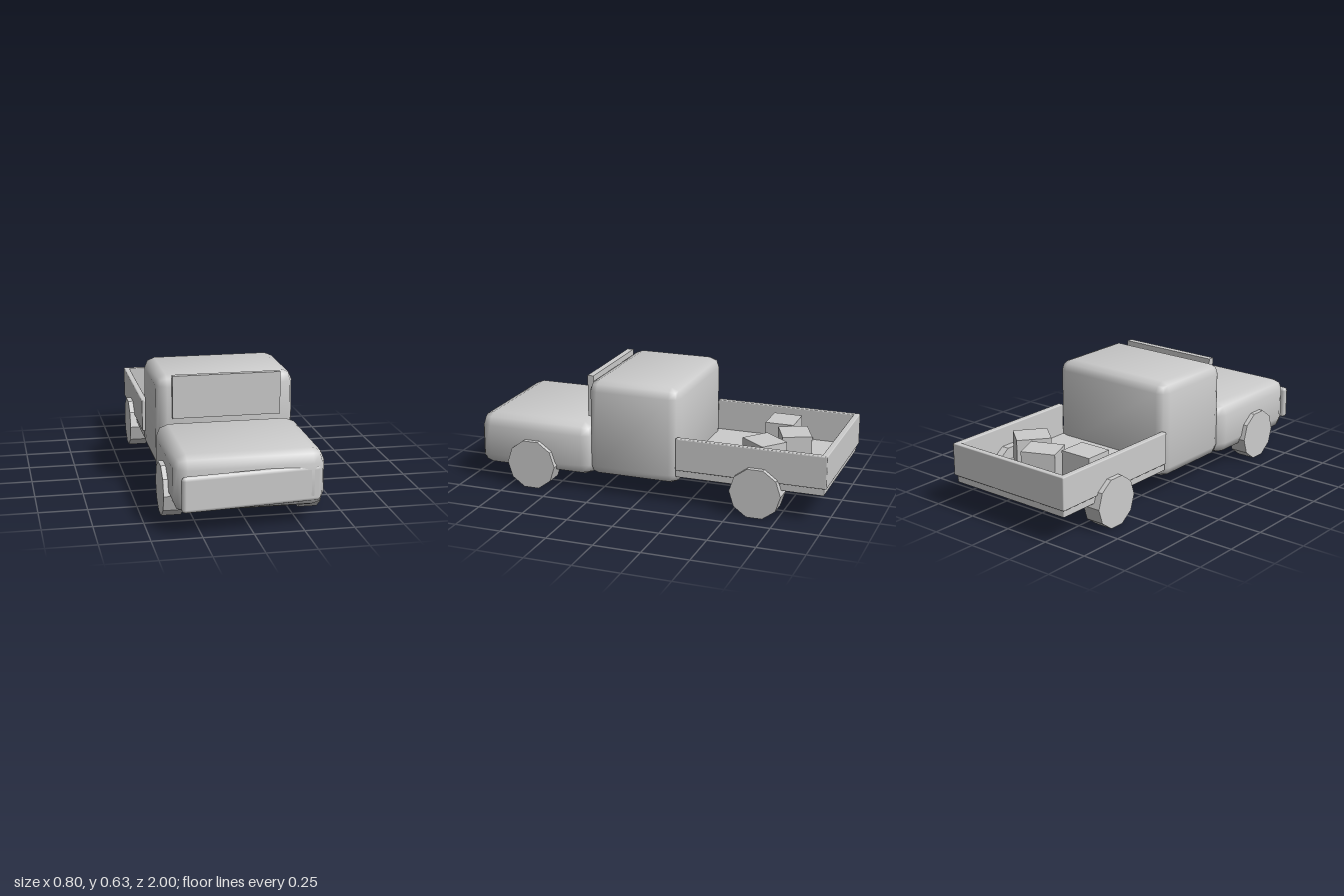
import * as THREE from 'three';
import { RoundedBoxGeometry } from 'three/addons/geometries/RoundedBoxGeometry.js';

export function createModel() {
  const truck = new THREE.Group();
  truck.name = 'pickupTruck';

  const grey = new THREE.MeshStandardMaterial({ color: 0xcccccc });
  grey.name = 'plain grey';

  function add(name, geometry, x, y, z, turn = 0) {
    const mesh = new THREE.Mesh(geometry, grey);
    mesh.name = name;
    mesh.position.set(x, y, z);
    mesh.rotation.y = turn;
    truck.add(mesh);
    return mesh;
  }

  // Two-step bevelled box whose normals lean to the corners for a soft, pillowy look
  function softBox(w, h, d, r) {
    const geo = new RoundedBoxGeometry(w, h, d, 1, r);
    const p = geo.attributes.position, n = geo.attributes.normal;
    const v = new THREE.Vector3();
    for (let i = 0; i < p.count; i++) {
      v.fromBufferAttribute(n, i);
      v.x += 0.2 * Math.sign(p.getX(i));
      v.y += 0.2 * Math.sign(p.getY(i));
      v.z += 0.2 * Math.sign(p.getZ(i));
      v.normalize();
      n.setXYZ(i, v.x, v.y, v.z);
    }
    return geo;
  }

  // Hood and cab
  add('hood', softBox(0.75, 0.292, 0.66, 0.065), 0, 0.233, 0.6);
  add('cab', softBox(0.725, 0.52, 0.507, 0.055), 0, 0.36, 0.044);
  add('windshield', new THREE.BoxGeometry(0.568, 0.225, 0.033), 0, 0.515, 0.308);

  // Bumper, hanging loose at one end
  add('bumper', new RoundedBoxGeometry(0.705, 0.182, 0.04, 1, 0.02), 0, 0.211, 0.942, 0.107);

  // Open cargo bed: floor slab, two side walls and a tailgate
  add('bedFloor', new RoundedBoxGeometry(0.725, 0.045, 0.79, 1, 0.006), 0, 0.1745, -0.59);
  for (const s of [-1, 1]) {
    add('bedSideWall', new RoundedBoxGeometry(0.032, 0.174, 0.8, 1, 0.006), s * 0.357, 0.279, -0.597);
  }
  add('tailgate', new RoundedBoxGeometry(0.746, 0.174, 0.032, 1, 0.006), 0, 0.279, -0.982);

  // Crates lying loose in the bed: x, z, turn
  const crates = [[-0.186, -0.621, 0], [0, -0.733, 0.4], [0.18, -0.62, 0.89]];
  for (const [x, z, turn] of crates) {
    add('crate', new THREE.BoxGeometry(0.18, 0.155, 0.155), x, 0.272, z, turn);
  }

  // Ten-sided wheels, flat edge on the ground
  const wheelGeo = new THREE.CylinderGeometry(0.1367, 0.1367, 0.1, 10).toNonIndexed();
  wheelGeo.computeVertexNormals();
  wheelGeo.rotateZ(Math.PI / 2);
  for (const s of [-1, 1]) {
    add('frontWheel', wheelGeo, s * 0.35, 0.13, 0.615);
    add('rearWheel', wheelGeo, s * 0.35, 0.13, -0.635);
  }

  return truck;
}
